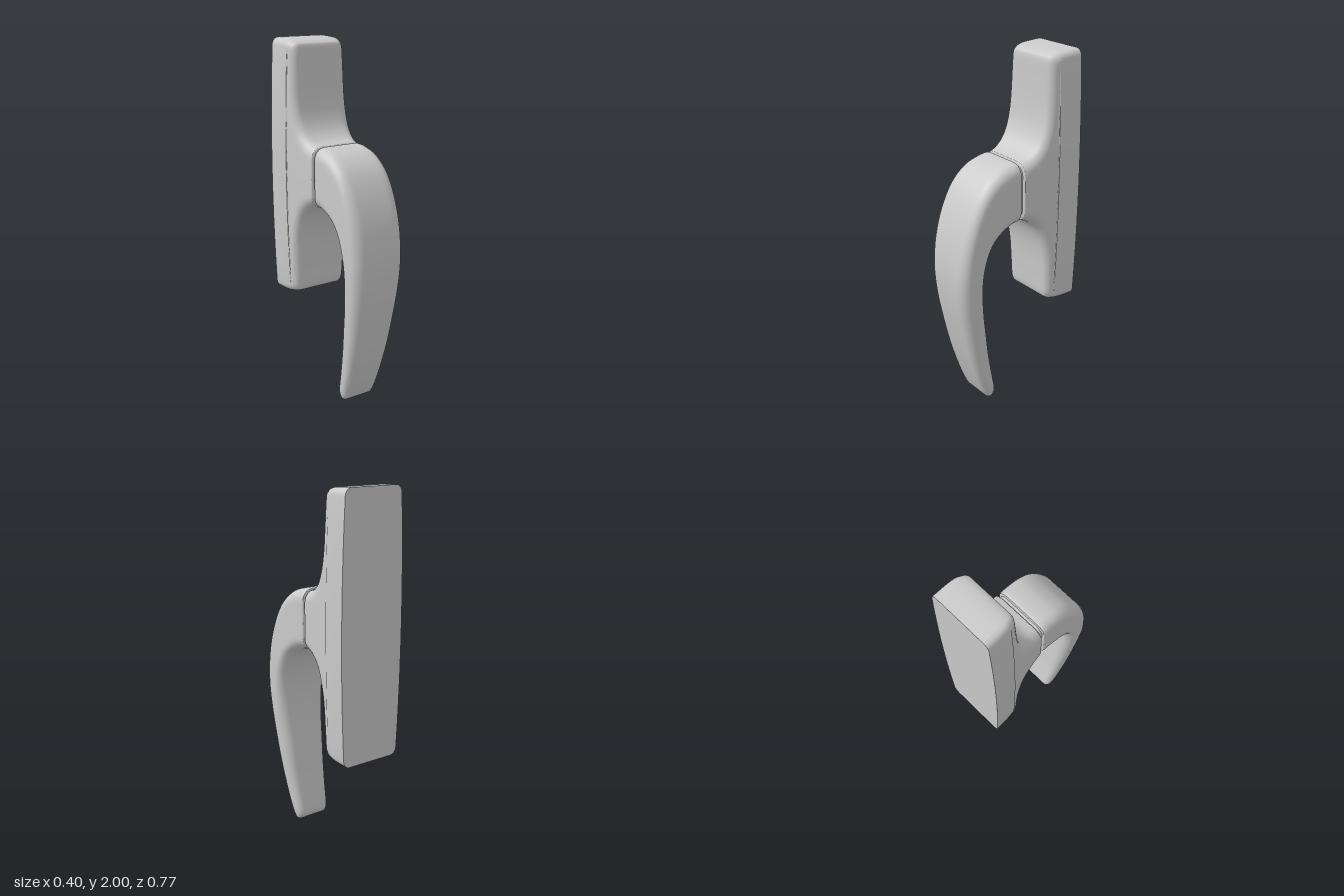
import * as THREE from 'three';
import { toCreasedNormals } from 'three/addons/utils/BufferGeometryUtils.js';

const ARC = 7, SIDE = 10;

// Rounded rectangle, counterclockwise: [x, v, drop], drop being 1 on the sides and 0 on top and bottom
function roundedRing(w, h, r) {
  const pts = [];
  const corners = [[1, 1], [-1, 1], [-1, -1], [1, -1]];
  corners.forEach(([sx, sy], q) => {
    const cx = sx * (w - r), cy = sy * (h - r);
    for (let i = 0; i <= ARC; i++) {
      const a = (q + i / ARC) * Math.PI / 2;
      pts.push([cx + r * Math.cos(a), cy + r * Math.sin(a), 1 - Math.abs(Math.sin(a))]);
    }
    // straight run to the next corner
    const last = pts[pts.length - 1];
    const horizontal = q % 2 === 0;
    for (let i = 1; i < SIDE; i++) {
      const f = 1 - 2 * i / SIDE;
      pts.push(horizontal ? [sx * (w - r) * f, last[1], 0] : [last[0], sy * (h - r) * f, 1]);
    }
  });
  return pts;
}

// Closed skin through equal-length rings of Vector3, with both ends capped
function loft(rings) {
  const n = rings[0].length, pos = [], idx = [];
  rings.forEach(ring => ring.forEach(p => pos.push(p.x, p.y, p.z)));
  for (let i = 0; i < rings.length - 1; i++) {
    for (let j = 0; j < n; j++) {
      const a = i * n + j, b = i * n + (j + 1) % n;
      idx.push(a, b, b + n, a, b + n, a + n);
    }
  }
  [0, rings.length - 1].forEach((i, end) => {
    const c = new THREE.Vector3();
    rings[i].forEach(p => c.addScaledVector(p, 1 / n));
    const k = pos.length / 3;
    pos.push(c.x, c.y, c.z);
    for (let j = 0; j < n; j++) {
      const a = i * n + j, b = i * n + (j + 1) % n;
      if (end) idx.push(k, a, b); else idx.push(k, b, a);
    }
  });
  const geo = new THREE.BufferGeometry();
  geo.setAttribute('position', new THREE.Float32BufferAttribute(pos, 3));
  geo.setIndex(idx);
  return toCreasedNormals(geo, 0.65);
}

const spline = pts => new THREE.CatmullRomCurve3(pts.map(p => new THREE.Vector3(...p)), false, 'catmullrom', 0.5);

// Back plate flowing into the neck: z, top, bottom, half width, corner radius, edge rounding
function baseGeometry() {
  const stations = [
    [-0.385, 2.0, 0.54, 0.2, 0.04, 0],
    [-0.3, 1.997, 0.543, 0.199, 0.04, 0],
    [-0.25, 1.992, 0.55, 0.195, 0.04, 0],
    [-0.21, 1.98, 0.56, 0.192, 0.05, 0.6],
    [-0.193, 1.955, 0.59, 0.19, 0.05, 0.9],
    [-0.189, 1.85, 0.68, 0.189, 0.05, 0.9],
    [-0.182, 1.7, 0.82, 0.187, 0.05, 0.85],
    [-0.165, 1.59, 0.93, 0.185, 0.05, 0.75],
    [-0.13, 1.51, 1.02, 0.181, 0.055, 0.6],
    [-0.08, 1.46, 1.075, 0.176, 0.06, 0.4],
    [-0.03, 1.44, 1.1, 0.17, 0.065, 0.1],
    [-0.022, 1.438, 1.102, 0.168, 0.065, 0],
    [-0.018, 1.43, 1.11, 0.16, 0.06, 0]
  ];
  const outline = spline(stations.map(s => s.slice(0, 3)));
  const section = spline(stations.map(s => s.slice(3)));
  const steps = (stations.length - 1) * 4, rings = [];
  for (let i = 0; i <= steps; i++) {
    const o = outline.getPoint(i / steps), s = section.getPoint(i / steps);
    const mid = (o.y + o.z) / 2;
    rings.push(roundedRing(s.x, (o.y - o.z) / 2, s.y).map(([x, v, drop]) => {
      const y = mid + v;
      const bulge = 1 - 0.1 * ((y - 1.27) / 0.73) ** 2;
      return new THREE.Vector3(x * bulge, y, o.x - drop * s.y * Math.max(0, s.z));
    }));
  }
  return loft(rings);
}

// Curved grip: half width, outer y, outer z, inner y, inner z
function gripGeometry() {
  const stations = [
    [0.157, 1.432, 0, 1.108, 0],
    [0.165, 1.44, 0.008, 1.1, 0.006],
    [0.166, 1.434, 0.06, 1.095, 0.045],
    [0.167, 1.405, 0.145, 1.07, 0.105],
    [0.167, 1.33, 0.235, 1.03, 0.16],
    [0.167, 1.2, 0.31, 0.97, 0.2],
    [0.166, 1.04, 0.362, 0.88, 0.228],
    [0.162, 0.86, 0.386, 0.77, 0.236],
    [0.153, 0.68, 0.377, 0.63, 0.226],
    [0.143, 0.5, 0.346, 0.47, 0.205],
    [0.131, 0.32, 0.305, 0.31, 0.183],
    [0.119, 0.16, 0.256, 0.175, 0.157],
    [0.111, 0.07, 0.222, 0.085, 0.138],
    [0.104, 0.03, 0.203, 0.043, 0.133],
    [0.096, 0.01, 0.188, 0.017, 0.145],
    [0.085, 0.004, 0.176, 0.006, 0.158]
  ];
  const outer = spline(stations.map(s => s.slice(0, 3)));
  const inner = spline(stations.map(s => [s[0], s[3], s[4]]));
  const steps = (stations.length - 1) * 4, rings = [];
  for (let i = 0; i <= steps; i++) {
    const a = outer.getPoint(i / steps), b = inner.getPoint(i / steps);
    const mid = a.clone().add(b).multiplyScalar(0.5);
    const dir = new THREE.Vector3(0, a.y - b.y, a.z - b.z);
    const half = dir.length() / 2;
    dir.normalize();
    rings.push(roundedRing(a.x, half, Math.min(0.065, half * 0.85)).map(([x, v]) =>
      new THREE.Vector3(x, mid.y + dir.y * v, mid.z + dir.z * v)));
  }
  return loft(rings);
}

// Thin recessed collar in the joint between neck and grip
function collarGeometry() {
  return loft([-0.03, 0.01].map(z =>
    roundedRing(0.148, 0.148, 0.05).map(([x, v]) => new THREE.Vector3(x, 1.27 + v, z))));
}

export function createModel() {
  const group = new THREE.Group();
  group.name = 'windowHandle';
  const material = new THREE.MeshStandardMaterial({ color: 0xcccccc });
  const parts = { backPlate: baseGeometry(), collar: collarGeometry(), grip: gripGeometry() };
  for (const [name, geometry] of Object.entries(parts)) {
    const mesh = new THREE.Mesh(geometry, material);
    mesh.name = name;
    group.add(mesh);
  }
  return group;
}
